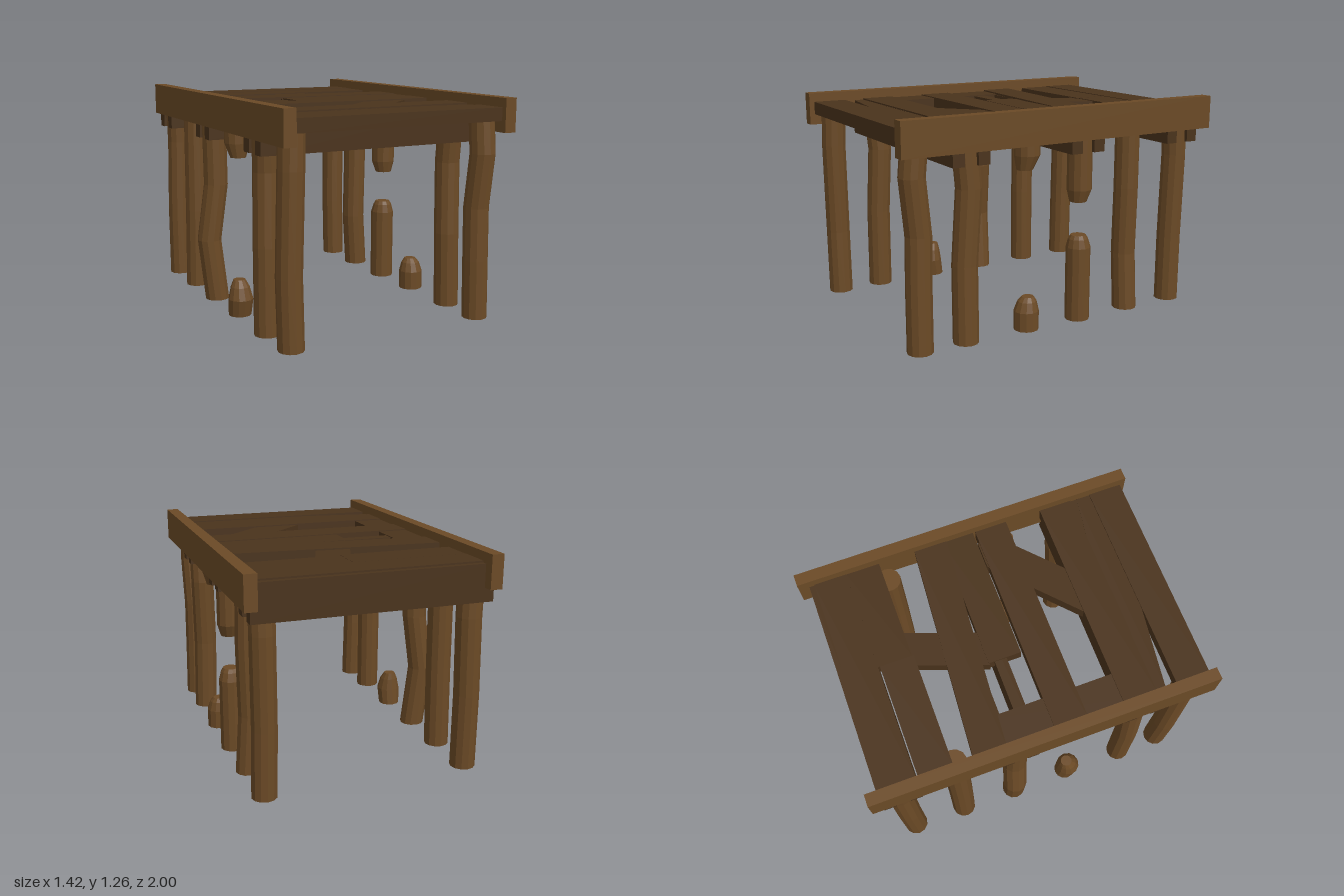
import * as THREE from 'three';

const wood = new THREE.MeshStandardMaterial({ color: 0x6b4a26, flatShading: true });
const darkWood = new THREE.MeshStandardMaterial({ color: 0x4a331c, flatShading: true });

export function createModel() {
  const model = new THREE.Group();
  const add = (name, geometry, material) => {
    const mesh = new THREE.Mesh(geometry, material);
    mesh.name = name;
    model.add(mesh);
    return mesh;
  };

  // Box given by its extents
  const box = (name, material, x0, x1, y0, y1, z0, z1) =>
    add(name, new THREE.BoxGeometry(x1 - x0, y1 - y0, z1 - z0), material)
      .position.set((x0 + x1) / 2, (y0 + y1) / 2, (z0 + z1) / 2);

  // Board cut to an outline of [x, z] corners
  const board = (name, top, outline, thickness = 0.075) => {
    const shape = new THREE.Shape(outline.map(([x, z]) => new THREE.Vector2(x, -z)));
    const geometry = new THREE.ExtrudeGeometry(shape, { depth: thickness, bevelEnabled: false });
    geometry.rotateX(-Math.PI / 2).translate(0, top - thickness, 0);
    add(name, geometry, darkWood);
  };

  // Crooked log from rings of [x, y, z, radius], bottom to top, capped at both ends
  const log = (name, rings, sides = 12) => {
    const points = [], index = [];
    const ring = ([x, y, z, r]) => {
      for (let i = 0; i < sides; i++) {
        const a = (i / sides) * Math.PI * 2;
        points.push(x + r * Math.sin(a), y, z + r * Math.cos(a));
      }
    };
    const first = rings[0], last = rings[rings.length - 1];
    const all = [[first[0], first[1], first[2], 0], ...rings, [last[0], last[1], last[2], 0]];
    all.forEach(ring);
    for (let j = 0; j < all.length - 1; j++) {
      for (let i = 0; i < sides; i++) {
        const a = j * sides + i, b = j * sides + (i + 1) % sides;
        if (j > 0) index.push(a, b, a + sides);
        if (j < all.length - 2) index.push(b, b + sides, a + sides);
      }
    }
    // bottom cap fan uses the second triangle, top cap fan uses the first
    const geometry = new THREE.BufferGeometry();
    geometry.setAttribute('position', new THREE.Float32BufferAttribute(points, 3));
    geometry.setIndex(index);
    geometry.computeVertexNormals();
    add(name, geometry, wood);
  };

  // Side rails
  box('leftRail', wood, 0.64, 0.71, 1.08, 1.27, -1, 1);
  box('rightRail', wood, -0.69, -0.62, 1.08, 1.27, -1, 1);

  // Paired cross beams clamping the posts
  for (const z of [0.587, -0.15, -0.83]) {
    for (const side of [-1, 1]) {
      const c = z + side * 0.075;
      box('crossBeam', darkWood, -0.675, 0.665, 1.0, 1.21, c - 0.035, c + 0.035);
    }
  }

  // Straight deck planks: x range, z range, top
  const planks = [
    [-0.62, 0.64, 0.775, 0.97, 1.218],
    [-0.62, 0.64, 0.462, 0.655, 1.22],
    [-0.62, 0.64, 0.06, 0.25, 1.22],
    [-0.15, 0.64, -0.145, 0.045, 1.218],
    [-0.62, 0.04, -0.71, -0.515, 1.218],
    [0.04, 0.64, -0.72, -0.525, 1.217],
    [-0.62, 0.64, -0.91, -0.72, 1.22],
    [-0.62, -0.44, -0.3, 0.6, 1.214], // lengthwise plank
  ];
  for (const [x0, x1, z0, z1, top] of planks) box('plank', darkWood, x0, x1, top - 0.075, top, z0, z1);

  // Skewed planks across the deck
  board('skewedPlank', 1.212, [[-0.62, 0.71], [0.64, 0.88], [0.64, 0.693], [-0.62, 0.515]], 0.08);
  board('skewedPlank', 1.222, [[-0.62, -0.215], [0.64, -0.117], [0.64, -0.31], [-0.62, -0.405]]);

  // Broken diagonal boards
  board('diagonalBoard', 1.213, [[-0.16, -0.14], [0.03, -0.1], [0.25, -0.7], [0.05, -0.72]]);
  board('diagonalBoard', 1.213, [[-0.26, 0.66], [0.03, 0.66], [0.57, 0.165], [0.57, 0.05], [0.41, 0.05]]);

  // Whole posts: crooked centre lines as [x, y, z]
  const R = 0.072;
  const wholePosts = [
    [[0.58, 0.01, 0.862], [0.575, 0.35, 0.86], [0.573, 0.65, 0.855], [0.58, 0.96, 0.888], [0.58, 1.145, 0.87]],
    [[0.58, 0.01, 0.587], [0.57, 0.45, 0.585], [0.58, 0.87, 0.562], [0.58, 1.145, 0.587]],
    [[0.58, 0.01, -0.502], [0.557, 0.35, -0.5], [0.565, 0.75, -0.5], [0.56, 1.145, -0.504]],
    [[0.58, 0.01, -0.832], [0.575, 0.4, -0.838], [0.58, 0.92, -0.846], [0.58, 1.145, -0.835]],
    [[-0.59, 0.01, 0.862], [-0.6, 0.4, 0.862], [-0.59, 0.95, 0.87], [-0.585, 1.145, 0.865]],
    [[-0.6, 0.01, 0.587], [-0.6, 0.5, 0.585], [-0.59, 0.9, 0.567], [-0.6, 1.145, 0.587]],
    [[-0.6, 0.01, -0.155], [-0.64, 0.38, -0.165], [-0.595, 0.72, -0.155], [-0.6, 1.145, -0.155]],
    [[-0.6, 0.01, -0.502], [-0.595, 0.5, -0.5], [-0.59, 1.145, -0.504]],
    [[-0.6, 0.01, -0.832], [-0.6, 0.45, -0.838], [-0.59, 0.9, -0.84], [-0.6, 1.145, -0.832]],
  ];
  for (const path of wholePosts) log('post', path.map((p) => [...p, R]));

  // Snapped posts: stump on the ground and remnant under the deck
  log('brokenStump', [[0.58, 0.01, 0.2, R], [0.58, 0.12, 0.2, R], [0.58, 0.175, 0.195, 0.055], [0.58, 0.2, 0.19, 0.035]]);
  log('brokenStump', [[-0.6, 0.01, 0.205, 0.066], [-0.6, 0.11, 0.222, R], [-0.6, 0.18, 0.215, 0.055], [-0.6, 0.22, 0.205, 0.035]]);
  log('brokenStump', [[0.58, 0.005, -0.152, R], [0.58, 0.44, -0.152, R], [0.58, 0.49, -0.15, 0.058], [0.58, 0.512, -0.15, 0.045]]);
  for (const x of [0.58, -0.6]) {
    log('hangingRemnant', [[x, 0.93, 0.215, 0.045], [x, 1.01, 0.2, R], [x, 1.145, 0.2, R]]);
  }
  log('hangingRemnant', [[0.58, 0.71, -0.145, 0.05], [0.58, 0.78, -0.152, R], [0.58, 1.145, -0.152, R]]);

  return model;
}
